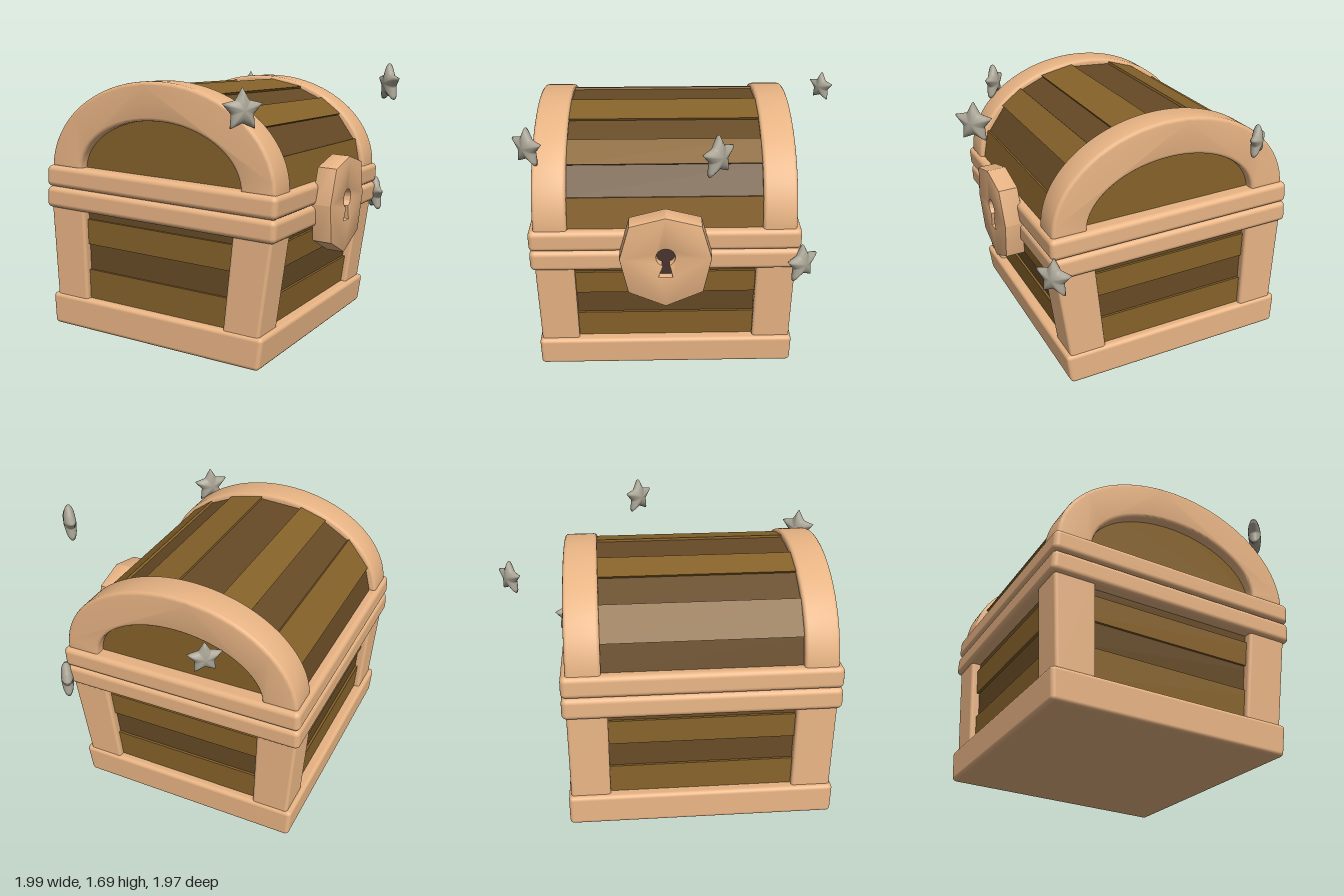
import * as THREE from 'three';
import { toCreasedNormals } from 'three/addons/utils/BufferGeometryUtils.js';
import { RoundedBoxGeometry } from 'three/addons/geometries/RoundedBoxGeometry.js';

const mat = (color) => new THREE.MeshStandardMaterial({ color });
const trim = mat(0xe8b484);
const lightWood = mat(0x86622a);
const darkWood = mat(0x664a25);
const hollow = mat(0x4a3530);
const stone = mat(0xaaa596);

const LID_Y = 1.0; // height of the lid's arch centre

function add(parent, name, geometry, material, x = 0, y = 0, z = 0) {
  const mesh = new THREE.Mesh(geometry, material);
  mesh.name = name;
  mesh.position.set(x, y, z);
  parent.add(mesh);
  return mesh;
}

// Places a geometry at height y and widens it in depth towards the top
function flare(geometry, x, y, z) {
  geometry.translate(x, y, z);
  const p = geometry.attributes.position;
  for (let i = 0; i < p.count; i++) p.setZ(i, p.getZ(i) * (1 + 0.14 * p.getY(i)));
  return geometry;
}

// Extrudes a side profile (x of the shape = depth) along the chest's width, centred
function acrossWidth(shape, length, bevel = 0) {
  const g = new THREE.ExtrudeGeometry(shape, {
    depth: length - 2 * bevel, curveSegments: 32, bevelEnabled: bevel > 0,
    bevelSize: bevel, bevelThickness: bevel, bevelOffset: -bevel, bevelSegments: 3,
  });
  g.translate(0, 0, -(length - 2 * bevel) / 2);
  g.rotateY(-Math.PI / 2);
  return toCreasedNormals(g, 0.6);
}

function buildBody(chest) {
  add(chest, 'base', flare(new RoundedBoxGeometry(1.59, 0.195, 1.44, 3, 0.025), 0, 0.0975, 0), trim);

  // Stacked plank rows, every second one set back
  const rows = [0.17, 0.375, 0.535, 0.69, 0.78];
  for (let i = 0; i < rows.length - 1; i++) {
    const inset = i % 2 ? 0.015 : 0;
    const h = rows[i + 1] - rows[i];
    const g = new THREE.BoxGeometry(1.49 - 2 * inset, h, 1.31 - 2 * inset);
    add(chest, 'bodyPlanks', flare(g, 0, rows[i] + h / 2, 0), i % 2 ? darkWood : lightWood);
  }

  // Corner posts
  for (const sx of [-1, 1]) for (const sz of [-1, 1]) {
    const g = new RoundedBoxGeometry(0.235, 0.62, 0.225, 3, 0.018);
    add(chest, 'cornerPost', flare(g, sx * 0.663, 0.47, sz * 0.578), trim);
  }

  // Body rim and lid rim
  add(chest, 'bodyRim', new RoundedBoxGeometry(1.61, 0.132, 1.575, 4, 0.032), trim, 0, 0.806, 0);
  add(chest, 'lidRim', new RoundedBoxGeometry(1.61, 0.132, 1.575, 4, 0.032), trim, 0, 0.938, 0);
}

function buildLid(chest) {
  // Flat planks round the vault, as wedges between angles from the vertical
  const angles = [90, 70, 51, 36, 22, 4, -18, -33, -50, -72, -90];
  for (let i = 0; i < angles.length - 1; i++) {
    const inset = i % 2 ? 0.014 : 0;
    const wedge = new THREE.Shape([new THREE.Vector2(0, 0), ...[angles[i], angles[i + 1]].map((d) => {
      const t = THREE.MathUtils.degToRad(d);
      return new THREE.Vector2(Math.sin(t) * (0.74 - inset), Math.cos(t) * (0.545 - inset));
    })]);
    add(chest, 'lidPlank', acrossWidth(wedge, 1.2), i % 2 ? darkWood : lightWood, 0, LID_Y, 0);
  }

  // Panels closing both ends
  const panel = new THREE.Shape();
  panel.absellipse(0, 0, 0.62, 0.42, 0, Math.PI, false);
  add(chest, 'lidEndPanels', acrossWidth(panel, 1.42), lightWood, 0, LID_Y, 0);

  // Arched end frames
  const arch = new THREE.Shape();
  arch.absellipse(0, 0, 0.765, 0.572, 0, Math.PI, false);
  arch.lineTo(-0.55, 0);
  arch.absellipse(0, 0, 0.55, 0.345, Math.PI, 0, true);
  arch.closePath();
  const archGeo = acrossWidth(arch, 0.2, 0.02);
  for (const s of [-1, 1]) add(chest, 'lidArch', archGeo, trim, s * 0.675, LID_Y - 0.01, 0);
}

function buildLock(chest) {
  const lock = new THREE.Group();
  lock.name = 'lock';
  lock.position.set(0, 0.88, 0.77);
  chest.add(lock);

  const outline = [[0, 0.27], [0.21, 0.215], [0.27, 0], [0.222, -0.23], [0, -0.33],
    [-0.222, -0.23], [-0.27, 0], [-0.21, 0.215]];
  const plate = new THREE.Shape(outline.map(([x, y]) => new THREE.Vector2(x, y)).reverse());

  // Keyhole: round top running into a flared slot
  const keyhole = new THREE.Path();
  keyhole.moveTo(-0.04, -0.125);
  keyhole.lineTo(-0.02, -0.035);
  keyhole.absarc(0, 0.01, 0.055, -Math.PI / 2 - 0.4, -Math.PI / 2 + 0.4, true);
  keyhole.lineTo(0.04, -0.125);
  keyhole.closePath();
  plate.holes.push(keyhole);

  const g = new THREE.ExtrudeGeometry(plate, {
    depth: 0.107, curveSegments: 20, bevelSize: 0.008, bevelThickness: 0.008,
    bevelOffset: -0.008, bevelSegments: 2,
  });
  add(lock, 'lockPlate', toCreasedNormals(g, 0.5), trim);
  add(lock, 'keyholeBack', new THREE.BoxGeometry(0.16, 0.24, 0.03), hollow, 0, -0.03, 0.055);
}

// Puffy five-pointed star: a sphere whose outline follows a star
function starGeometry() {
  const g = new THREE.SphereGeometry(1, 60, 16);
  g.rotateX(Math.PI / 2);
  const p = g.attributes.position;
  const step = Math.PI / 5;
  const inner = 0.56;
  for (let i = 0; i < p.count; i++) {
    const x = p.getX(i), y = p.getY(i);
    const a = Math.atan2(x, y) + 4 * Math.PI;
    const m = a % (2 * step);
    const t = Math.min(m, 2 * step - m); // angle away from the nearest tip
    const r = inner * Math.sin(step) /
      (Math.sin(t) * (1 - inner * Math.cos(step)) + inner * Math.sin(step) * Math.cos(t));
    p.setXYZ(i, x * r, y * r, p.getZ(i) * 0.32);
  }
  g.computeVertexNormals();
  return g;
}

export function createModel() {
  const model = new THREE.Group();
  model.name = 'treasureChest';

  // The chest is turned and leans forward slightly
  const chest = new THREE.Group();
  chest.name = 'chest';
  chest.position.set(-0.1, 0.036, -0.142);
  chest.rotation.set(0.049, 0.128, 0, 'YXZ');
  model.add(chest);
  buildBody(chest);
  buildLid(chest);
  buildLock(chest);

  // Floating stars: x, y, z, radius, turn
  const star = starGeometry();
  const stars = [
    [-0.81, 1.455, 0.58, 0.122, -0.57],
    [0.315, 1.57, 0.89, 0.122, 0.9],
    [0.925, 1.515, -0.575, 0.098, -0.75],
    [0.81, 0.78, 0.57, 0.122, 0.78],
  ];
  for (const [x, y, z, r, turn] of stars) {
    const mesh = add(model, 'star', star, stone, x, y, z);
    mesh.scale.setScalar(r);
    mesh.rotation.y = turn;
  }
  return model;
}
